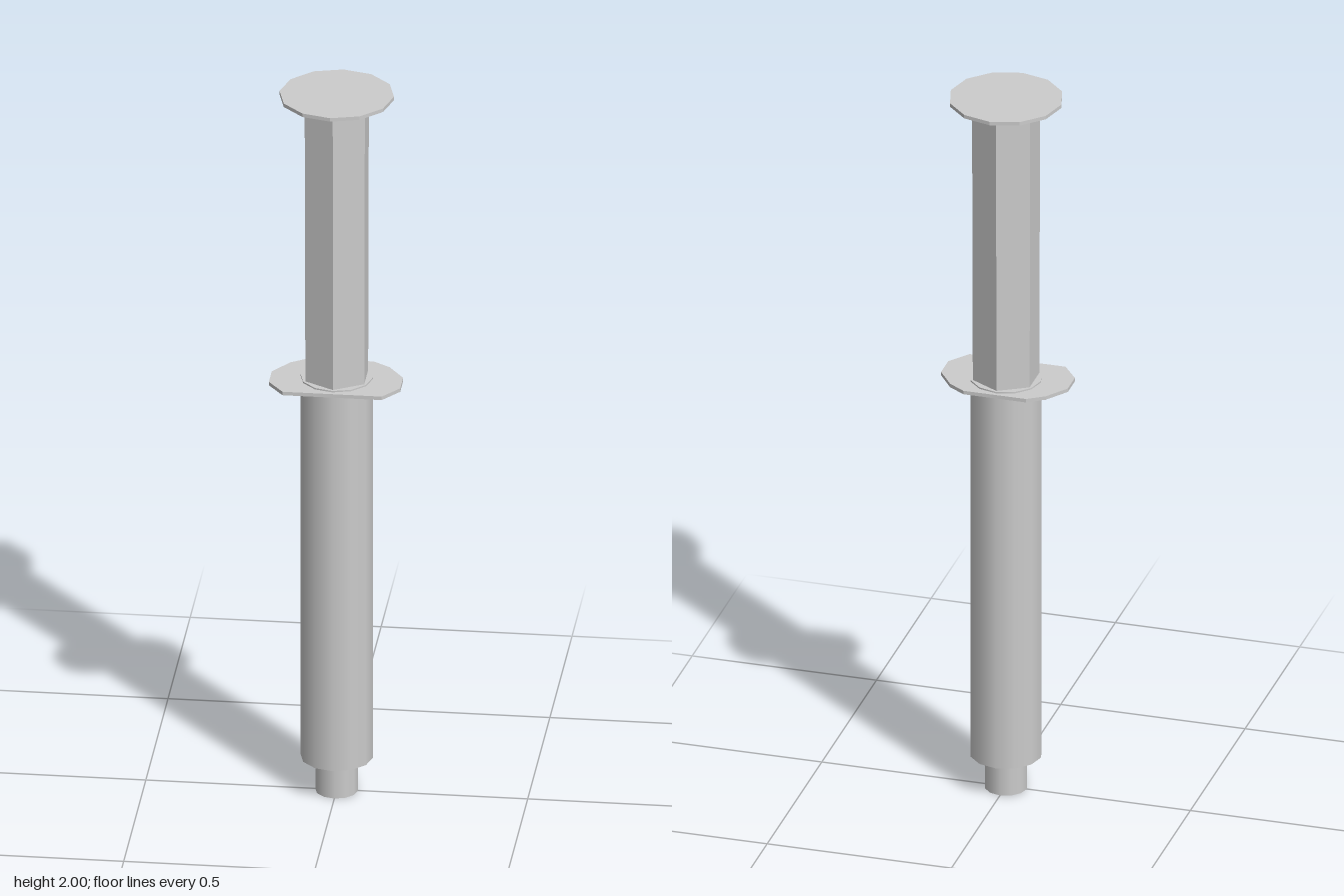
import * as THREE from 'three';

export function createModel() {
  const group = new THREE.Group();
  const smooth = new THREE.MeshStandardMaterial({ color: 0xcccccc });
  const flat = new THREE.MeshStandardMaterial({ color: 0xcccccc, flatShading: true });

  function add(name, geometry, material) {
    const mesh = new THREE.Mesh(geometry, material);
    mesh.name = name;
    group.add(mesh);
    return mesh;
  }

  // Upright prism between two heights
  function column(name, rTop, rBottom, y0, y1, sides, material) {
    const geometry = new THREE.CylinderGeometry(rTop, rBottom, y1 - y0, sides);
    geometry.translate(0, (y0 + y1) / 2, 0);
    return add(name, geometry, material);
  }

  // Nozzle and barrel
  column('nozzle', 0.056, 0.056, 0, 0.1, 12, smooth);
  column('barrel', 0.095, 0.095, 0.097, 1.19, 12, smooth);

  // Six-sided plunger rod with its round thumb plate
  column('plungerRod', 0.091, 0.089, 1.17, 1.99, 6, flat);
  column('thumbPlate', 0.15, 0.15, 1.99, 2, 12, flat);

  // Finger flange: half outline in x and z, mirrored to the other side
  const half = [[0.085, -0.105], [0.13, -0.075], [0.172, -0.015], [0.172, 0.05], [0.13, 0.106]];
  const outline = [...half, ...half.map(([x, z]) => [-x, z]).reverse()];
  const shape = new THREE.Shape(outline.map(([x, z]) => new THREE.Vector2(x, z)));
  const flange = new THREE.ExtrudeGeometry(shape, { depth: 0.01, bevelEnabled: false });
  flange.rotateX(Math.PI / 2);
  flange.translate(0, 1.186, 0);
  add('fingerFlange', flange, flat);

  return group;
}
